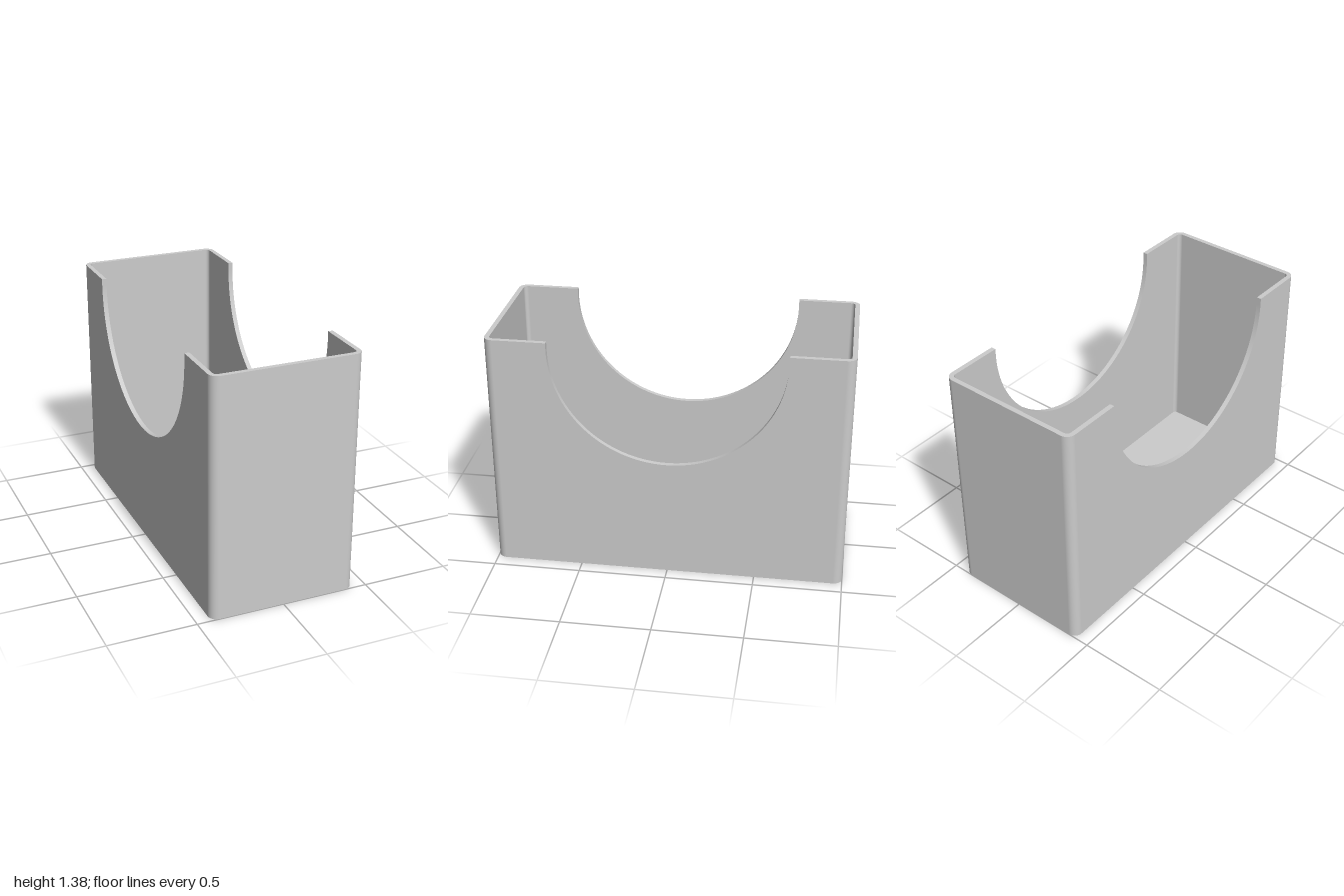
import * as THREE from 'three';

const HALF_X = 0.421, HALF_Z = 1, HEIGHT = 1.38;
const WALL = 0.027, CORNER = 0.05, FLOOR = 0.03;
const CUT_R = 0.652, CUT_Y = 1.342; // round notch in both long sides
const CORNER_STEPS = 8, CUT_STEPS = 64;

// Walk once round the wall: outer and inner plan position, outward normal, height, rim normal
function wallOutline() {
  const points = [];
  const signs = [[1, 1], [-1, 1], [-1, -1], [1, -1]];
  signs.forEach(([sx, sz], k) => {
    for (let i = 0; i <= CORNER_STEPS; i++) {
      const a = (k + i / CORNER_STEPS) * Math.PI / 2;
      const n = [Math.cos(a), 0, Math.sin(a)];
      const at = r => [sx * (HALF_X - CORNER) + r * n[0], sz * (HALF_Z - CORNER) + r * n[2]];
      points.push({ outer: at(CORNER), inner: at(CORNER - WALL), n, h: HEIGHT, rim: [0, 1, 0], corner: true });
    }
    if (k % 2 === 0) return;
    // Notch along the long side that follows this corner
    const side = sx;
    const add = (a, h) => {
      const z = -side * CUT_R * Math.cos(a);
      points.push({
        outer: [side * HALF_X, z], inner: [side * (HALF_X - WALL), z],
        n: [side, 0, 0], h, rim: [0, Math.sin(a), -z / CUT_R],
      });
    };
    add(0, HEIGHT);
    for (let i = 0; i <= CUT_STEPS; i++) {
      const a = Math.PI * i / CUT_STEPS;
      add(a, CUT_Y - CUT_R * Math.sin(a));
    }
    add(Math.PI, HEIGHT);
  });
  return points;
}

// Surface made of one quad per step of the outline; quad() returns four [position, normal] corners
function strip(outline, quad) {
  const pos = [], nor = [];
  outline.forEach((p, i) => {
    const c = quad(p, outline[(i + 1) % outline.length]);
    for (const j of [0, 1, 2, 0, 2, 3]) {
      pos.push(...c[j][0]);
      nor.push(...c[j][1]);
    }
  });
  const g = new THREE.BufferGeometry();
  g.setAttribute('position', new THREE.Float32BufferAttribute(pos, 3));
  g.setAttribute('normal', new THREE.Float32BufferAttribute(nor, 3));
  return g;
}

const lift = ([x, z], y) => [x, y, z];
const flip = n => n.map(v => -v);

export function createModel() {
  const model = new THREE.Group();
  model.name = 'openHolder';
  const grey = new THREE.MeshStandardMaterial({ color: 0xcccccc });
  grey.name = 'lightGrey';
  const add = (name, geometry) => {
    const mesh = new THREE.Mesh(geometry, grey);
    mesh.name = name;
    model.add(mesh);
    return mesh;
  };

  const outline = wallOutline();

  // Walls
  add('outerWall', strip(outline, (p, q) => [
    [lift(p.outer, 0), p.n], [lift(p.outer, p.h), p.n],
    [lift(q.outer, q.h), q.n], [lift(q.outer, 0), q.n],
  ]));
  add('innerWall', strip(outline, (p, q) => [
    [lift(p.inner, FLOOR), flip(p.n)], [lift(q.inner, FLOOR), flip(q.n)],
    [lift(q.inner, q.h), flip(q.n)], [lift(p.inner, p.h), flip(p.n)],
  ]));

  // Top edge and notch edges
  add('rim', strip(outline, (p, q) => {
    const flat = p.h === HEIGHT && q.h === HEIGHT;
    const np = flat ? [0, 1, 0] : p.rim, nq = flat ? [0, 1, 0] : q.rim;
    return [
      [lift(p.outer, p.h), np], [lift(p.inner, p.h), np],
      [lift(q.inner, q.h), nq], [lift(q.outer, q.h), nq],
    ];
  }));

  // Floor, underside and inside
  const plan = key => new THREE.ShapeGeometry(new THREE.Shape(
    outline.filter(p => p.corner).map(p => new THREE.Vector2(...p[key]))));
  add('underside', plan('outer').rotateX(Math.PI / 2));
  add('insideFloor', plan('inner').rotateX(-Math.PI / 2).translate(0, FLOOR, 0));

  return model;
}
